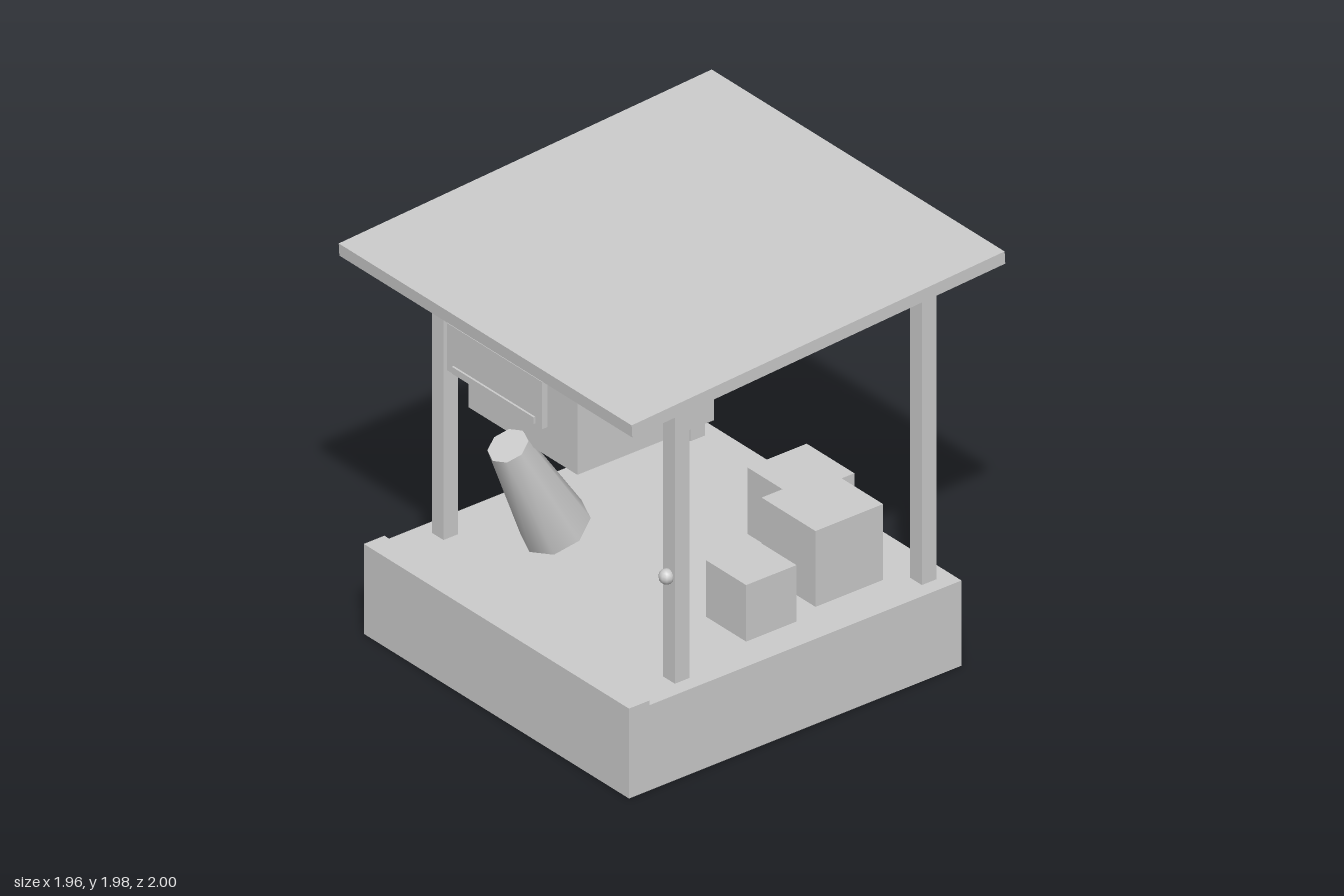
import * as THREE from 'three';

export function createModel() {
  const model = new THREE.Group();
  model.name = 'marketStall';
  const grey = new THREE.MeshStandardMaterial({ color: 0xcccccc });
  grey.name = 'plain grey';

  const add = (name, geometry, x, y, z, tilt = 0) => {
    const mesh = new THREE.Mesh(geometry, grey);
    mesh.name = name;
    mesh.position.set(x, y, z);
    mesh.rotation.x = tilt;
    model.add(mesh);
    return mesh;
  };
  // Box given by its extents on each axis
  const block = (name, [x0, x1], [y0, y1], [z0, z1]) =>
    add(name, new THREE.BoxGeometry(x1 - x0, y1 - y0, z1 - z0),
      (x0 + x1) / 2, (y0 + y1) / 2, (z0 + z1) / 2);

  // Platform with a raised front lip
  const floor = 0.41;
  block('platform', [-0.885, 0.885], [0, floor], [-0.84, 0.94]);
  block('frontLip', [-0.885, 0.885], [floor, 0.433], [0.83, 0.94]);

  // Four corner posts
  for (const side of [-1, 1]) {
    const x = side * 0.772;
    block('frontPost', [x - 0.039, x + 0.039], [floor, 1.87], [0.557, 0.635]);
    block('backPost', [x - 0.039, x + 0.039], [floor, 1.87], [-0.765, -0.687]);
  }

  // Roof slab sloping down to the front
  add('roof', new THREE.BoxGeometry(1.955, 0.06, 2.0), 0, 1.89, 0, 0.06);

  // Hanging cabinet
  block('cabinet', [-0.728, -0.002], [1.005, 1.64], [-0.226, 0.505]);

  // Sign board with its raised strip
  block('signBoard', [-0.318, 0.318], [1.528, 1.755], [0.922, 0.95]);
  block('signStrip', [-0.272, 0.272], [1.535, 1.568], [0.95, 0.96]);

  // Stacked crates on the floor
  block('mediumCrate', [0.02, 0.338], [floor, 0.73], [-0.705, -0.387]);
  block('largeCrate', [0.316, 0.676], [floor, 0.775], [-0.588, -0.226]);
  block('smallCrate', [0.454, 0.722], [floor, 0.682], [-0.087, 0.182]);

  // Tapered barrel leaning forward
  add('taperedBarrel', new THREE.CylinderGeometry(0.0925, 0.158, 0.542, 8),
    -0.366, 0.771, 0.457, 0.49);

  // Round knob on the front post
  add('postKnob', new THREE.SphereGeometry(0.035, 10, 8), 0.77, 0.913, 0.647);

  return model;
}
